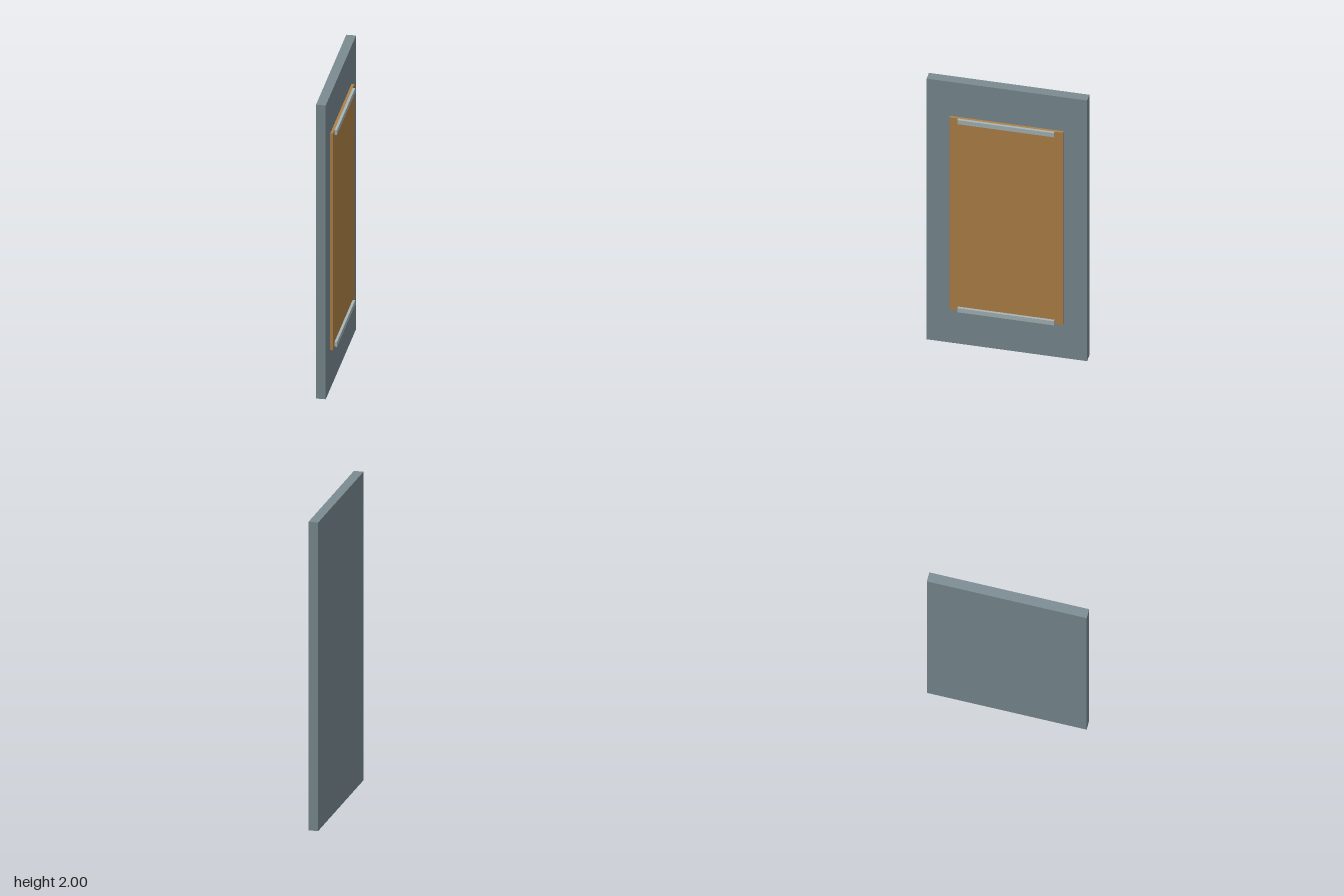
import * as THREE from 'three';

// Box given by its x and y extents, centred on z = 0
function slab(name, color, [x0, x1], [y0, y1], depth) {
  const mesh = new THREE.Mesh(
    new THREE.BoxGeometry(x1 - x0, y1 - y0, depth),
    new THREE.MeshStandardMaterial({ color })
  );
  mesh.position.set((x0 + x1) / 2, (y0 + y1) / 2, 0);
  mesh.name = name;
  return mesh;
}

export function createModel() {
  const group = new THREE.Group();
  group.name = 'wallPanel';

  // Upright slab and the raised board on its left face
  group.add(slab('backPanel', 0x7a8b91, [-0.047, 0.014], [0, 2], 1.01));
  group.add(slab('raisedBoard', 0xb08248, [0.014, 0.031], [0.265, 1.74], 0.714));

  // Thin rails along the top and bottom edges of the board
  for (const [name, y] of [['bottomRail', 0.265], ['topRail', 1.708]]) {
    group.add(slab(name, 0xa8b6b8, [0.031, 0.047], [y, y + 0.032], 0.608));
  }
  return group;
}
